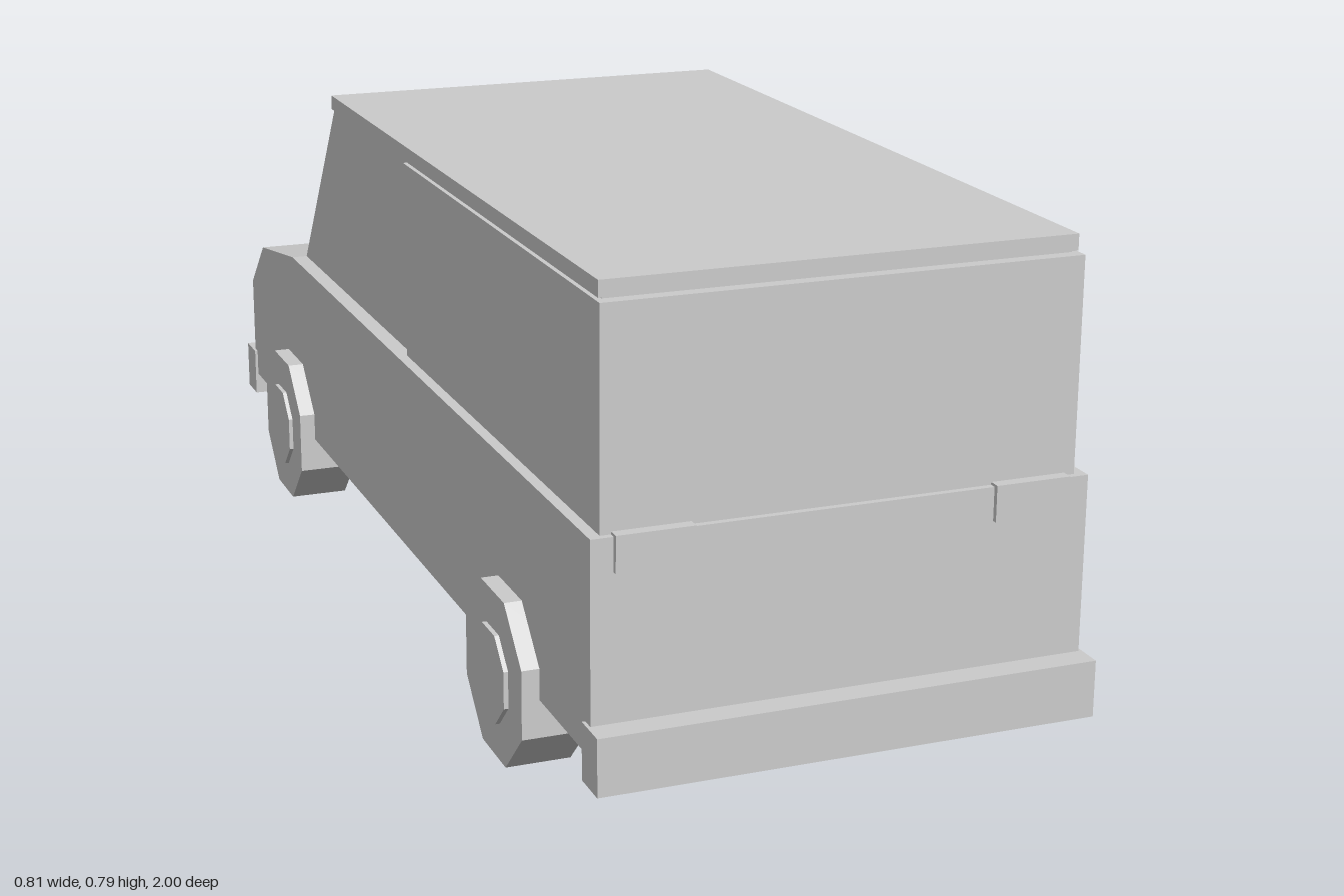
import * as THREE from 'three';

export function createModel() {
  const van = new THREE.Group();
  van.name = 'van';
  const grey = new THREE.MeshStandardMaterial({ color: 0xcccccc });
  grey.name = 'plain grey';

  const add = (name, geometry) => {
    const mesh = new THREE.Mesh(geometry, grey);
    mesh.name = name;
    van.add(mesh);
    return mesh;
  };

  // Box given by its limits on each axis
  const box = (name, x0, x1, y0, y1, z0, z1) =>
    add(name, new THREE.BoxGeometry(x1 - x0, y1 - y0, z1 - z0)
      .translate((x0 + x1) / 2, (y0 + y1) / 2, (z0 + z1) / 2));

  // Side profile of [z, y] points, extruded across the width
  const profile = (name, points, halfWidth) => {
    const shape = new THREE.Shape(points.map(([z, y]) => new THREE.Vector2(z, y)));
    const geometry = new THREE.ExtrudeGeometry(shape, { depth: halfWidth * 2, bevelEnabled: false });
    return add(name, geometry.translate(0, 0, -halfWidth).rotateY(-Math.PI / 2));
  };

  // Octagonal prism lying along x, with a flat side down
  const octagon = (name, apothem, x0, x1, y, z) => {
    const geometry = new THREE.CylinderGeometry(
      apothem / Math.cos(Math.PI / 8), apothem / Math.cos(Math.PI / 8), x1 - x0, 8
    ).toNonIndexed();
    geometry.rotateY(Math.PI / 8).rotateZ(Math.PI / 2).computeVertexNormals();
    return add(name, geometry.translate((x0 + x1) / 2, y, z));
  };

  // Lower body with sloping bonnet (bonnet end at -z)
  profile('lowerBody', [
    [0.96, 0.133], [0.96, 0.447], [-0.625, 0.447],
    [-0.86, 0.41], [-0.957, 0.32], [-0.957, 0.133],
  ], 0.373);

  // Cabin with raked windscreen, wider cargo section and roof
  profile('cabin', [[0.93, 0.44], [0.93, 0.769], [-0.39, 0.769], [-0.63, 0.44]], 0.346);
  box('cargoSection', -0.356, 0.356, 0.44, 0.765, 0.06, 0.95);
  box('roof', -0.353, 0.353, 0.768, 0.792, -0.385, 0.936);

  // Bumpers
  box('rearBumper', -0.378, 0.378, 0.094, 0.18, 0.94, 1);
  box('frontBumper', -0.378, 0.378, 0.094, 0.18, -1, -0.94);

  // Grille
  box('grille', -0.21, 0.21, 0.19, 0.25, -0.968, -0.95);

  for (const side of [-1, 1]) {
    // Lights
    const pair = (a, b) => (side > 0 ? [a, b] : [-b, -a]);
    box('tailLight', ...pair(0.225, 0.34), 0.397, 0.451, 0.95, 0.968);
    box('headlight', ...pair(0.197, 0.326), 0.298, 0.354, -0.968, -0.95);
    // Wheels and hubs
    for (const z of [-0.625, 0.625]) {
      octagon('wheel', 0.128, ...pair(0.3, 0.4), 0.128, z);
      octagon('hub', 0.069, ...pair(0.39, 0.407), 0.128, z);
    }
  }
  return van;
}
